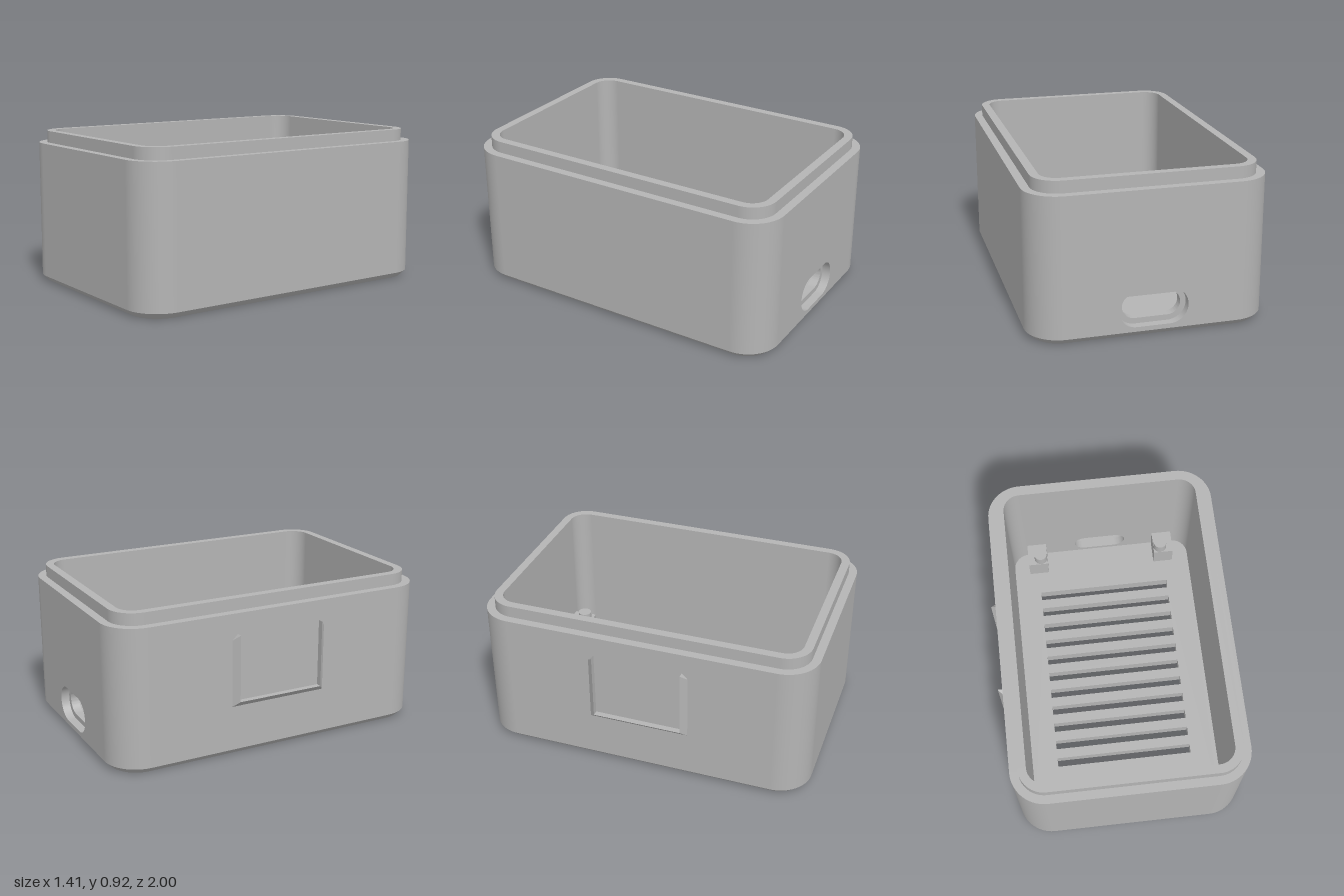
import * as THREE from 'three';
import { toCreasedNormals } from 'three/addons/utils/BufferGeometryUtils.js';

const CX = 0.0175, HALF_X = 0.6875, HALF_Z = 1, RADIUS = 0.2;
const FLOOR = 0.07, RIM = 0.85, LIP = 0.92, WALL = 0.1, STEP = 0.05, CHAMFER = 0.035;
const ARC = 14; // segments per rounded corner

// Rounded rectangle in plan, drawn in from the outer wall by an inset
function outline(inset) {
  const pts = [], r = RADIUS - inset;
  const signs = [[1, 1], [-1, 1], [-1, -1], [1, -1]];
  signs.forEach(([sx, sz], q) => {
    for (let i = 0; i <= ARC; i++) {
      const a = (q + i / ARC) * Math.PI / 2, c = Math.cos(a), s = Math.sin(a);
      pts.push({ x: CX + sx * (HALF_X - RADIUS) + r * c, z: sz * (HALF_Z - RADIUS) + r * s, c, s });
    }
  });
  return pts;
}

// Bands swept round the outline along an [inset, y] profile, sharp between bands.
// Above the chamfer the flat back stays open for the port panel.
function shellGeometry(profile) {
  const pos = [], nor = [], idx = [];
  for (let k = 0; k + 1 < profile.length; k++) {
    const [i0, y0] = profile[k], [i1, y1] = profile[k + 1];
    const out = i0 - i1, up = y1 - y0, len = Math.hypot(out, up);
    const lower = outline(i0), upper = outline(i1), base = pos.length / 3, n = lower.length;
    for (let j = 0; j < n; j++) {
      const { c, s } = lower[j];
      pos.push(lower[j].x, y0, lower[j].z, upper[j].x, y1, upper[j].z);
      for (let t = 0; t < 2; t++) nor.push(c * up / len, -out / len, s * up / len);
      if (k >= 2 && j === 3 * (ARC + 1) - 1) continue;
      const a = base + 2 * j, b = base + 2 * ((j + 1) % n);
      idx.push(a, a + 1, b, b, a + 1, b + 1);
    }
  }
  const g = new THREE.BufferGeometry();
  g.setAttribute('position', new THREE.Float32BufferAttribute(pos, 3));
  g.setAttribute('normal', new THREE.Float32BufferAttribute(nor, 3));
  g.setIndex(idx);
  return g;
}

function rectangle(Kind, x0, x1, y0, y1) {
  return new Kind([[x0, y0], [x1, y0], [x1, y1], [x0, y1]].map(p => new THREE.Vector2(...p)));
}

// Floor with a row of ventilation slots
function floorGeometry() {
  const shape = new THREE.Shape(outline(WALL).map(p => new THREE.Vector2(p.x, -p.z)));
  for (let i = 0; i < 11; i++) {
    const z = -0.61 + i * 0.1155;
    shape.holes.push(rectangle(THREE.Path, -0.41, 0.44, -z - 0.055, -z));
  }
  return new THREE.ExtrudeGeometry(shape, { depth: FLOOR, bevelEnabled: false }).rotateX(-Math.PI / 2);
}

// Half-thickness of the flat back wall with a rounded port opening
function backPanelGeometry(y0, y1, z, width, height) {
  const w = HALF_X - RADIUS, r = height / 2, d = width / 2 - r, cy = 0.167;
  const shape = rectangle(THREE.Shape, CX - w, CX + w, y0, y1);
  const hole = new THREE.Path();
  hole.absarc(CX + d, cy, r, -Math.PI / 2, Math.PI / 2);
  hole.absarc(CX - d, cy, r, Math.PI / 2, Math.PI * 1.5);
  hole.closePath();
  shape.holes.push(hole);
  const g = new THREE.ExtrudeGeometry(shape, { depth: STEP, bevelEnabled: false, curveSegments: 16 });
  return toCreasedNormals(g.translate(0, 0, z), 0.5);
}

// U-shaped triangular rail, open at the top, mitred at the lower corners
function railGeometry() {
  const wall = CX - HALF_X, tip = -0.705, d = 0.035, w = 0.264;
  const stations = [[0.73, 1], [0.335, 1], [0.335, -1], [0.73, -1]].map(([y, s]) => ({
    outer: [wall, y - d, s * (w + d)],
    tip: [tip, y, s * w],
    inner: [wall, y, s * w],
  }));
  const tris = [];
  for (let i = 0; i < 3; i++) {
    const a = stations[i], b = stations[i + 1];
    for (const [p, q] of [['outer', 'tip'], ['tip', 'inner']])
      tris.push(a[p], a[q], b[p], b[p], a[q], b[q]);
  }
  const first = stations[0], last = stations[3];
  tris.push(first.outer, first.inner, first.tip, last.outer, last.tip, last.inner);
  const g = new THREE.BufferGeometry();
  g.setAttribute('position', new THREE.Float32BufferAttribute(tris.flat(), 3));
  g.computeVertexNormals();
  return g;
}

export function createModel() {
  const model = new THREE.Group();
  model.name = 'enclosure';
  const grey = new THREE.MeshStandardMaterial({ color: 0xb4b4b4 });
  grey.name = 'grey plastic';
  const add = (name, geometry, parent = model) => {
    const mesh = new THREE.Mesh(geometry, grey);
    mesh.name = name;
    parent.add(mesh);
    return mesh;
  };

  // Walls: underside border, chamfer, outer wall, ledge, lip, inner wall
  add('walls', shellGeometry([
    [WALL, 0], [CHAMFER, 0], [0, CHAMFER], [0, RIM], [STEP, RIM], [STEP, LIP], [WALL, LIP], [WALL, FLOOR],
  ]));
  add('ventedFloor', floorGeometry());

  // Back wall with a stepped port opening
  add('backWallOuter', backPanelGeometry(CHAMFER, RIM, -HALF_Z, 0.4, 0.21));
  add('backWallInner', backPanelGeometry(CHAMFER, LIP, -HALF_Z + STEP, 0.335, 0.145));

  add('labelRail', railGeometry());

  // Corner posts, each a block with a locating pin
  for (const sx of [-1, 1]) {
    for (const sz of [-1, 1]) {
      const post = new THREE.Group();
      post.name = 'cornerPost';
      const [z0, z1] = sz < 0 ? [-0.9, -0.755] : [0.755, 0.885];
      add('postBlock', new THREE.BoxGeometry(0.126, 0.15, z1 - z0), post)
        .position.set(0.0135 + sx * 0.42, 0.135, (z0 + z1) / 2);
      add('postPin', new THREE.CylinderGeometry(0.042, 0.042, 0.215, 32), post)
        .position.set(0.0135 + sx * 0.4, 0.1675, sz * 0.798);
      model.add(post);
    }
  }
  return model;
}
